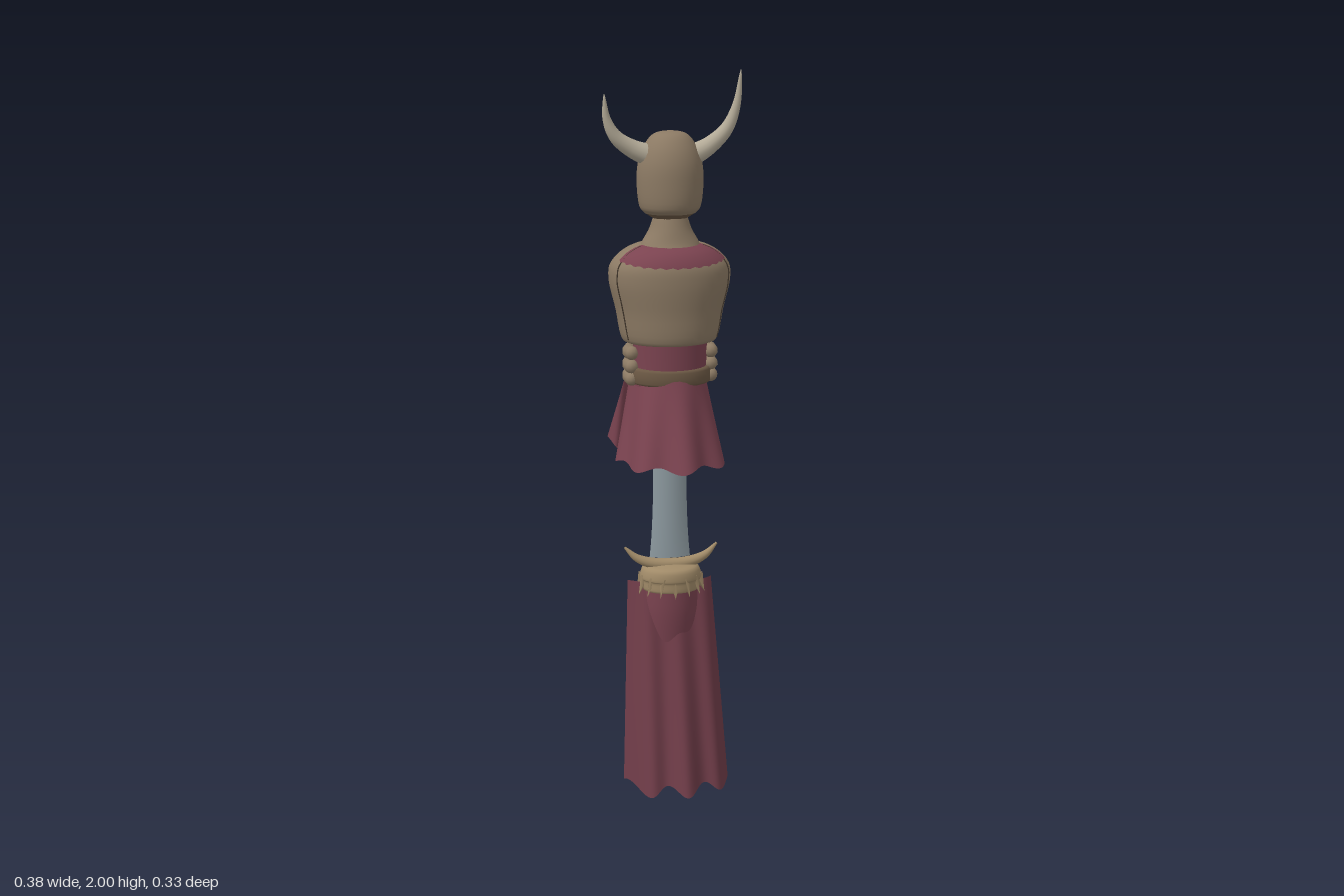
import * as THREE from 'three';
import { ParametricGeometry } from 'three/addons/geometries/ParametricGeometry.js';

const BROWN = 0x8c7a64, DARK = 0x6a5743, RED = 0x7b4350, CAPE = 0x6f3c48,
  HORN = 0xb3aa97, TAN = 0xa08a68, STEEL = 0x8f9ca2, ORANGE = 0xd9853a;

export function createModel() {
  const model = new THREE.Group();
  const V = (x, y, z) => new THREE.Vector3(x, y, z);

  const add = (name, geometry, color, x = 0, y = 0, z = 0) => {
    const mesh = new THREE.Mesh(geometry,
      new THREE.MeshStandardMaterial({ color, side: THREE.DoubleSide }));
    mesh.name = name;
    mesh.position.set(x, y, z);
    model.add(mesh);
    return mesh;
  };
  const surface = (name, color, nu, nv, fn) =>
    add(name, new ParametricGeometry(fn, nu, nv), color);

  // Elliptical body through rows of [y, halfWidth, halfDepth], bottom to top
  const body = (rows, cz) => {
    const curve = new THREE.CatmullRomCurve3(rows.map(([y, rx, rz]) => V(rx, y, rz)));
    return (angle, v, grow = 0) => {
      const p = curve.getPoint(v);
      return V(Math.sin(angle) * (p.x + grow), p.y, cz + Math.cos(angle) * (p.z + grow));
    };
  };
  const loft = (name, color, rows, cz, nv = 20) => {
    const at = body(rows, cz);
    surface(name, color, 40, nv, (u, v, t) => t.copy(at(u * Math.PI * 2, v)));
    return at;
  };

  // Tube lying near the xy plane, with a radius that changes along it
  const taper = (name, color, points, radius, segments = 24) => {
    const curve = new THREE.CatmullRomCurve3(points);
    surface(name, color, 14, segments, (u, v, t) => {
      const tan = curve.getTangent(v);
      const n = tan.clone().cross(V(0, 0, 1)).normalize();
      const b = n.clone().cross(tan).negate();
      const a = u * Math.PI * 2, r = radius(v);
      t.copy(curve.getPoint(v)).addScaledVector(n, r * Math.cos(a)).addScaledVector(b, -r * Math.sin(a));
    });
  };

  // Helmet, eye slits and neck
  loft('helmet', BROWN, [[1.62, 0.07, 0.065], [1.635, 0.082, 0.078], [1.71, 0.09, 0.084],
    [1.76, 0.085, 0.08], [1.8, 0.07, 0.066], [1.83, 0.045, 0.042], [1.84, 0.001, 0.001]], -0.011, 28);
  loft('helmetBase', DARK, [[1.6, 0.03, 0.03], [1.622, 0.001, 0.001]].reverse()
    .concat([[1.62, 0.07, 0.065]]), -0.011, 8);
  add('neck', new THREE.CylinderGeometry(0.04, 0.045, 0.05, 24), DARK, 0, 1.615, -0.008);
  loft('collar', BROWN, [[1.515, 0.088, 0.08], [1.54, 0.078, 0.066], [1.575, 0.058, 0.055],
    [1.61, 0.046, 0.045]], -0.008, 10);
  for (const s of [-1, 1]) {
    const slit = add('eyeSlit', new THREE.BoxGeometry(0.048, 0.009, 0.008), ORANGE, s * 0.039, 1.715, -0.09);
    slit.rotation.y = -s * 0.36;
  }

  // Horns, the left one taller
  for (const [s, name, h] of [[1, 'leftHorn', 0.215], [-1, 'rightHorn', 0.157]]) {
    const y = (k) => 1.785 + h * k;
    taper(name, HORN, [V(s * 0.06, y(-0.06), -0.004), V(s * 0.105, y(0.06), 0),
      V(s * 0.15, y(0.27), 0.008), V(s * 0.175, y(0.57), 0.016), V(s * 0.184, y(1), 0.028)],
    (v) => 0.029 * Math.pow(1 - v, 0.75) + 0.001);
  }

  // Chest armour, waist and belt
  const chest = loft('chestArmour', BROWN, [[1.275, 0.1, 0.085], [1.272, 0.127, 0.108],
    [1.36, 0.148, 0.119], [1.44, 0.166, 0.126], [1.48, 0.162, 0.123], [1.515, 0.13, 0.105],
    [1.535, 0.085, 0.075], [1.537, 0.05, 0.05]], -0.02, 36);
  loft('waist', RED, [[1.15, 0.1, 0.085], [1.21, 0.1, 0.087], [1.29, 0.102, 0.09]], -0.012, 6);
  loft('belt', DARK, [[1.155, 0.1, 0.084], [1.16, 0.112, 0.093], [1.197, 0.11, 0.092],
    [1.202, 0.1, 0.084]], -0.012, 8);

  // Torn cloth over the front of the shoulders
  surface('shoulderCloth', RED, 60, 10, (u, v, t) => {
    const a = (u - 0.5) * 2.5;
    const jag = 0.035 * Math.abs(((u * 13) % 1) - 0.5);
    const low = 0.58 + jag + 0.05 * Math.pow(Math.abs(u - 0.5) * 2, 2);
    t.copy(chest(a, low + (0.93 - low) * v, 0.003));
  });

  // Seams down the back and sides of the armour
  for (const a of [Math.PI, 1.15, -1.15]) {
    const points = [];
    for (let i = 0; i <= 12; i++) {
      points.push(chest(a + 0.025 * Math.sin(i * 2.3) * (a > 3 ? 1 : 0.3), 0.17 + 0.055 * i, 0));
    }
    add('armourSeam', new THREE.TubeGeometry(new THREE.CatmullRomCurve3(points), 40, 0.0022, 5), 0x43382d);
  }

  // Rope wound round the back of the waist
  for (let i = 0; i < 3; i++) {
    const points = [];
    for (let k = 0; k <= 20; k++) {
      const a = 1.35 + (k / 20) * (2 * Math.PI - 2.7);
      points.push(V(0.112 * Math.sin(a), 1.172 + 0.036 * i + 0.004 * Math.sin(a * 2 + i),
        -0.014 + 0.096 * Math.cos(a)));
    }
    add('waistRope', new THREE.TubeGeometry(new THREE.CatmullRomCurve3(points), 48, 0.019, 10), BROWN);
    for (const p of [points[0], points[20]]) {
      add('ropeEnd', new THREE.SphereGeometry(0.019, 10, 8), BROWN, p.x, p.y, p.z);
    }
  }

  // Skirt: an open half cone, its folds growing toward the hem
  surface('skirt', RED, 64, 16, (u, v, t) => {
    const d = 1 - v, a = (u - 0.5) * Math.PI * 1.08;
    const fold = 0.013 * d * Math.cos(a * 7 - 0.8);
    const w = 0.1 + 0.045 * d + fold * 0.6;
    t.set(w * Math.sin(a), 1.18 - 0.24 * d - 0.008 * d * Math.cos(a * 7),
      -0.05 + 0.05 * d + (0.13 + 0.022 * d + fold) * Math.cos(a));
  });

  // Torn ribbons hanging behind the skirt
  for (const s of [-1, 1]) {
    for (const [x0, x1, z1, len] of [[0.075, 0.122, -0.143, 0.215], [0.05, 0.075, -0.125, 0.15]]) {
      surface('backRibbon', RED, 12, 16, (u, v, t) => {
        const d = 1 - v, k = u - 0.5;
        t.set(s * (x0 + (x1 - x0) * d + k * 0.055),
          1.17 - len * d - 0.02 * d * Math.sin(u * 4),
          -0.1 + (z1 + 0.1) * Math.pow(d, 0.7) - k * 0.025 + 0.009 * Math.sin(u * 7 + d * 3));
      });
    }
  }

  // Blade: a shallow curved plate with a dark spine behind
  surface('blade', STEEL, 16, 12, (u, v, t) => {
    const s = u * 2 - 1, w = 0.046 + 0.011 * Math.pow(1 - v, 5);
    t.set(s * w, 0.655 + 0.515 * v, 0.001 - 0.016 * s * s);
  });
  surface('bladeBack', STEEL, 16, 4, (u, v, t) => {
    const s = 1 - u * 2;
    t.set(s * 0.047, 0.655 + 0.515 * v, -0.019 + 0.004 * s * s);
  });
  add('bladeSpine', new THREE.BoxGeometry(0.016, 0.52, 0.008), DARK, 0, 0.91, -0.018);

  // Curved guard, pointed at both ends
  taper('guard', TAN, [V(-0.13, 0.692, 0), V(-0.095, 0.66, 0.004), V(-0.04, 0.642, 0.008),
    V(0.04, 0.642, 0.008), V(0.095, 0.66, 0.004), V(0.13, 0.692, 0)],
  (v) => 0.003 + 0.014 * Math.sin(Math.PI * v));

  // Knee cuff with a ragged fringe
  loft('kneeCuff', TAN, [[0.568, 0.07, 0.06], [0.57, 0.08, 0.07], [0.598, 0.083, 0.073],
    [0.602, 0.086, 0.075], [0.63, 0.078, 0.071], [0.64, 0.05, 0.045], [0.643, 0.001, 0.001]], -0.004, 24);
  for (let i = 0; i < 14; i++) {
    const a = (i / 14) * Math.PI * 2;
    const spike = add('cuffFringe', new THREE.ConeGeometry(0.016, 0.055, 4), TAN,
      0.085 * Math.sin(a), 0.583, -0.004 + 0.07 * Math.cos(a));
    spike.quaternion.setFromUnitVectors(V(0, 1, 0),
      V(Math.sin(a) * 0.4, -1, Math.cos(a) * 0.25).normalize());
    spike.scale.z = 0.6;
  }

  // Leg in cloth, bound ankle and foot pointing backward
  loft('leg', RED, [[0.33, 0.03, 0.028], [0.36, 0.042, 0.036], [0.43, 0.06, 0.05],
    [0.51, 0.073, 0.062], [0.59, 0.076, 0.067]], 0, 18);
  loft('ankle', BROWN, [[0.155, 0.001, 0.001], [0.157, 0.024, 0.022], [0.22, 0.024, 0.022],
    [0.28, 0.031, 0.029], [0.345, 0.036, 0.033]], -0.012, 14);
  for (const y of [0.18, 0.203, 0.226]) {
    const wrap = add('ankleWrap', new THREE.TorusGeometry(0.025, 0.009, 8, 24), BROWN, 0, y, -0.012);
    wrap.rotation.x = Math.PI / 2 + 0.1;
  }
  const foot = add('foot', new THREE.SphereGeometry(1, 24, 16), DARK, 0, 0.307, -0.092);
  foot.scale.set(0.037, 0.023, 0.073);
  foot.rotation.x = -0.1;

  // Long cape with vertical folds, spreading toward the hem
  surface('cape', CAPE, 72, 24, (u, v, t) => {
    const d = 1 - v, s = u * 2 - 1;
    const fold = (0.004 + 0.012 * d) * Math.cos(s * 9 - 0.9);
    t.set(s * (0.118 + 0.03 * d) + 0.006 * d, 0.59 - 0.575 * d + 0.014 * d * Math.cos(s * 9 + 2.2),
      -0.02 + 0.075 * d + (0.035 + 0.052 * d) * (1 - Math.pow(Math.abs(s), 2.5)) + fold);
  });

  return model;
}
